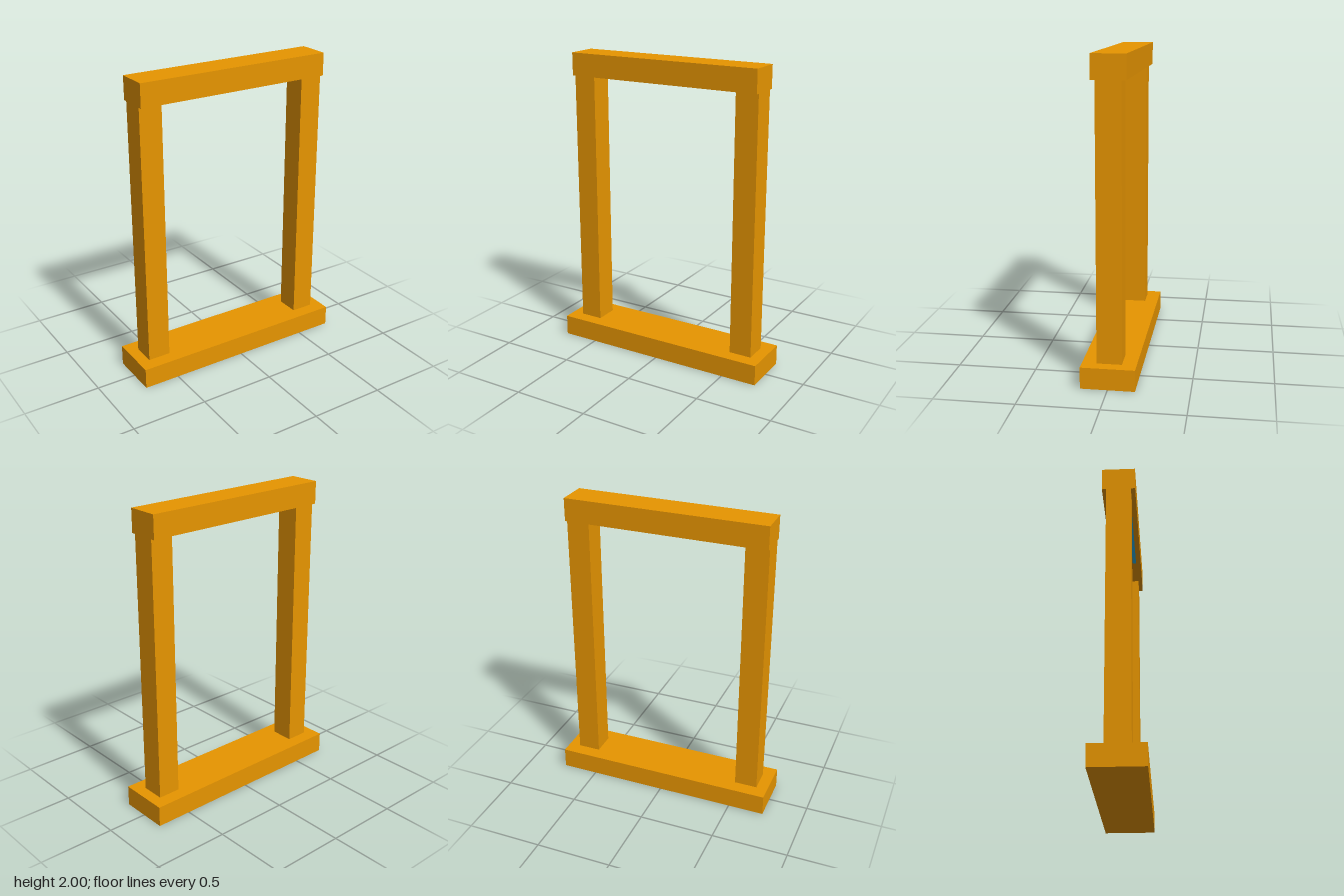
import * as THREE from 'three';

export function createModel() {
  const group = new THREE.Group();
  const wood = new THREE.MeshStandardMaterial({ color: 0xe79500 });
  wood.name = 'amber wood';
  const blue = new THREE.MeshStandardMaterial({ color: 0x2fb4e7 });
  blue.name = 'sky blue';

  // Box spanning the heights y0 to y1, centred on z = 0
  const addBox = (name, width, y0, y1, depth, x = 0) => {
    const mesh = new THREE.Mesh(new THREE.BoxGeometry(width, y1 - y0, depth), wood);
    mesh.name = name;
    mesh.position.set(x, (y0 + y1) / 2, 0);
    group.add(mesh);
  };

  const baseTop = 0.136, beamBottom = 1.85;
  addBox('base', 1.476, 0, baseTop, 0.336);
  addBox('topBeam', 1.324, beamBottom, 2, 0.21);

  // Pair of posts, flush with the ends of the beam
  for (const side of [-1, 1]) {
    addBox(side > 0 ? 'leftPost' : 'rightPost', 0.15, baseTop, beamBottom, 0.156, side * 0.587);
  }

  // Blue streaks on the underside of the beam, starting at the right post
  const streaks = 4, pitch = 0.04, length = 0.76;
  for (let i = 0; i < streaks; i++) {
    const streak = new THREE.Mesh(new THREE.PlaneGeometry(length, 0.024), blue);
    streak.name = 'beamUndersideStreak';
    streak.rotation.x = Math.PI / 2;
    streak.position.set(-0.512 + length / 2, beamBottom - 0.002, (i - (streaks - 1) / 2) * pitch);
    group.add(streak);
  }

  return group;
}
